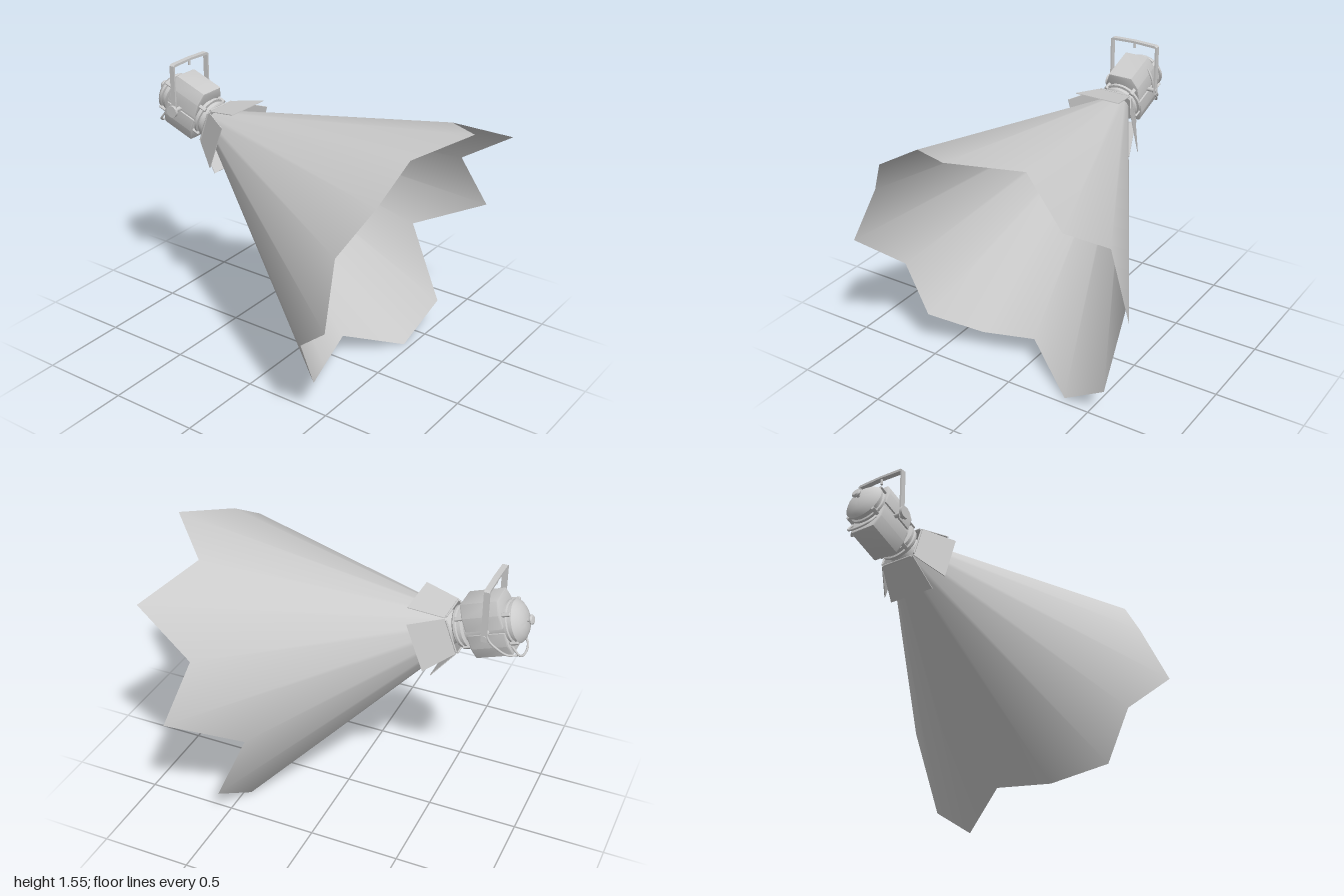
import * as THREE from 'three';
import { toCreasedNormals } from 'three/addons/utils/BufferGeometryUtils.js';
import { RoundedBoxGeometry } from 'three/addons/geometries/RoundedBoxGeometry.js';

const grey = new THREE.MeshStandardMaterial({ color: 0xcccccc });
const thin = new THREE.MeshStandardMaterial({ color: 0xcccccc, side: THREE.DoubleSide });

function add(parent, name, geometry, x = 0, y = 0, z = 0, material = grey) {
  const mesh = new THREE.Mesh(geometry, material);
  mesh.name = name;
  mesh.position.set(x, y, z);
  parent.add(mesh);
  return mesh;
}

// Turned part about the lamp axis: [radius, distance behind the lens]
function turned(profile, segments = 40) {
  const lathe = new THREE.LatheGeometry(profile.map(p => new THREE.Vector2(...p)), segments);
  return toCreasedNormals(lathe.rotateX(-Math.PI / 2), 0.6);
}

// Light beam: a 16-sided cone with a different length along each ray
function beamGeometry() {
  const reach = [1.412, 1.187, 1.413, 1.18, 1.375, 1.091, 1.423, 1.435,
    1.195, 1.273, 1.363, 1.274, 1.425, 1.274, 1.311, 1.273];
  const n = reach.length, r0 = 0.066, spread = 0.543;
  const positions = [], index = [];
  reach.forEach((t, i) => {
    const a = i / n * Math.PI * 2, s = Math.sin(a), c = Math.cos(a), r = r0 + t * spread;
    positions.push(s * r0, c * r0, 0, s * r, c * r, t);
    const j = (i + 1) % n;
    index.push(2 * i, 2 * i + 1, 2 * j + 1, 2 * i, 2 * j + 1, 2 * j);
  });
  const g = new THREE.BufferGeometry();
  g.setAttribute('position', new THREE.Float32BufferAttribute(positions, 3));
  g.setIndex(index);
  g.computeVertexNormals();
  return g;
}

// Flared trapezoid plate, hinged at its narrow edge
function doorGeometry() {
  const s = new THREE.Shape([[-0.1, 0], [0.1, 0], [0.135, 0.19], [-0.135, 0.19]]
    .map(p => new THREE.Vector2(...p)));
  return new THREE.ExtrudeGeometry(s, { depth: 0.004, bevelEnabled: false });
}

// Tapered ventilation hood running along the body
function hoodGeometry() {
  const s = new THREE.Shape([[-0.092, 0.02], [0.092, 0.02], [0.092, 0.085], [0.066, 0.145], [-0.066, 0.145], [-0.092, 0.085]]
    .map(p => new THREE.Vector2(...p)));
  const g = new THREE.ExtrudeGeometry(s, {
    depth: 0.19, bevelThickness: 0.008, bevelSize: 0.008, bevelSegments: 2 });
  return toCreasedNormals(g.translate(0, 0, -0.265), 0.5);
}

export function createModel() {
  const model = new THREE.Group();
  model.name = 'spotlight';

  const lamp = new THREE.Group();
  lamp.name = 'lamp';
  lamp.position.set(0.01, 1.23, -0.62);
  lamp.rotation.x = THREE.MathUtils.degToRad(20);
  model.add(lamp);

  add(lamp, 'lightBeam', beamGeometry(), 0, 0, 0, thin);
  const lens = add(lamp, 'lens', new THREE.SphereGeometry(0.066, 32, 16));
  lens.scale.z = 0.2;

  // Housing, front bezel and rear cap
  add(lamp, 'body', turned([[0, 0.02], [0.09, 0.02], [0.092, 0.3], [0, 0.3]]));
  add(lamp, 'frontBezel', turned([[0.066, 0], [0.1, 0], [0.108, 0.008], [0.108, 0.02],
    [0.098, 0.024], [0.098, 0.034], [0.112, 0.036], [0.112, 0.05], [0.09, 0.056]]));
  add(lamp, 'rearCap', turned([[0.09, 0.275], [0.108, 0.28], [0.108, 0.292], [0.098, 0.296],
    [0.098, 0.306], [0.11, 0.31], [0.11, 0.322], [0.1, 0.334], [0.078, 0.35], [0.045, 0.362], [0, 0.366]]));
  add(lamp, 'rearKnob', turned([[0.01, 0.36], [0.01, 0.378], [0.024, 0.38], [0.026, 0.388], [0.02, 0.396], [0, 0.398]], 24));

  for (const side of [0, 1]) {
    const hood = add(lamp, side ? 'bottomHood' : 'topHood', hoodGeometry());
    hood.rotation.z = side * Math.PI;
  }

  // Four barn doors with hinge rods
  for (let i = 0; i < 4; i++) {
    const hinge = new THREE.Group();
    hinge.name = 'barnDoor';
    hinge.rotation.z = i * Math.PI / 2;
    lamp.add(hinge);
    const door = add(hinge, 'doorPlate', doorGeometry(), 0, 0.105, 0.015);
    door.rotation.x = THREE.MathUtils.degToRad(60);
    const rod = add(hinge, 'hingeRod', new THREE.CylinderGeometry(0.005, 0.005, 0.18, 10), 0, 0.104, 0.012);
    rod.rotation.z = Math.PI / 2;
  }

  // Clips around both rims
  for (const z of [-0.045, -0.3]) {
    for (let i = 0; i < 4; i++) {
      const a = Math.PI / 4 + i * Math.PI / 2;
      const clip = add(lamp, 'rimClip', new RoundedBoxGeometry(0.02, 0.018, 0.045, 2, 0.004),
        Math.sin(a) * 0.113, Math.cos(a) * 0.113, z);
      clip.rotation.z = -a;
    }
  }

  // Curved rear handle and cable on the left side
  const tube = (name, points, r) => add(lamp, name, new THREE.TubeGeometry(
    new THREE.CatmullRomCurve3(points.map(p => new THREE.Vector3(...p))), 40, r, 8));
  tube('cable', [[0.09, 0.11, -0.22], [0.118, 0.06, -0.2], [0.122, -0.03, -0.19],
    [0.115, -0.09, -0.22], [0.09, -0.14, -0.25], [0.05, -0.165, -0.285]], 0.006);
  tube('rearHandle', [[-0.075, -0.1, -0.28], [-0.07, -0.155, -0.3], [-0.04, -0.175, -0.305],
    [0.04, -0.175, -0.305], [0.07, -0.155, -0.3], [0.075, -0.1, -0.28]], 0.006);

  // Upright yoke, hung around the pivot
  const yoke = new THREE.Group();
  yoke.name = 'yoke';
  yoke.position.set(0.01, 1.29, -0.79);
  model.add(yoke);
  const strap = new THREE.Shape([[-0.146, -0.025], [-0.146, 0.258], [-0.134, 0.266], [0, 0.27], [0.134, 0.266], [0.146, 0.258],
    [0.146, -0.025], [0.136, -0.025], [0.136, 0.252], [0, 0.258], [-0.136, 0.252], [-0.136, -0.025]]
    .map(p => new THREE.Vector2(...p)));
  add(yoke, 'yokeStrap', new THREE.ExtrudeGeometry(strap, { depth: 0.03, bevelEnabled: false }), 0, 0, -0.015);
  add(yoke, 'hangingBolt', new THREE.CylinderGeometry(0.007, 0.007, 0.035, 12), 0, 0.245, 0);
  for (const s of [-1, 1]) {
    const pivot = add(yoke, 'pivotPin', new THREE.CylinderGeometry(0.012, 0.012, 0.065, 16), s * 0.118);
    pivot.rotation.z = Math.PI / 2;
  }
  const knob = add(yoke, 'tiltKnob', new THREE.CylinderGeometry(0.034, 0.034, 0.016, 12), -0.157);
  knob.rotation.z = Math.PI / 2;

  return model;
}
